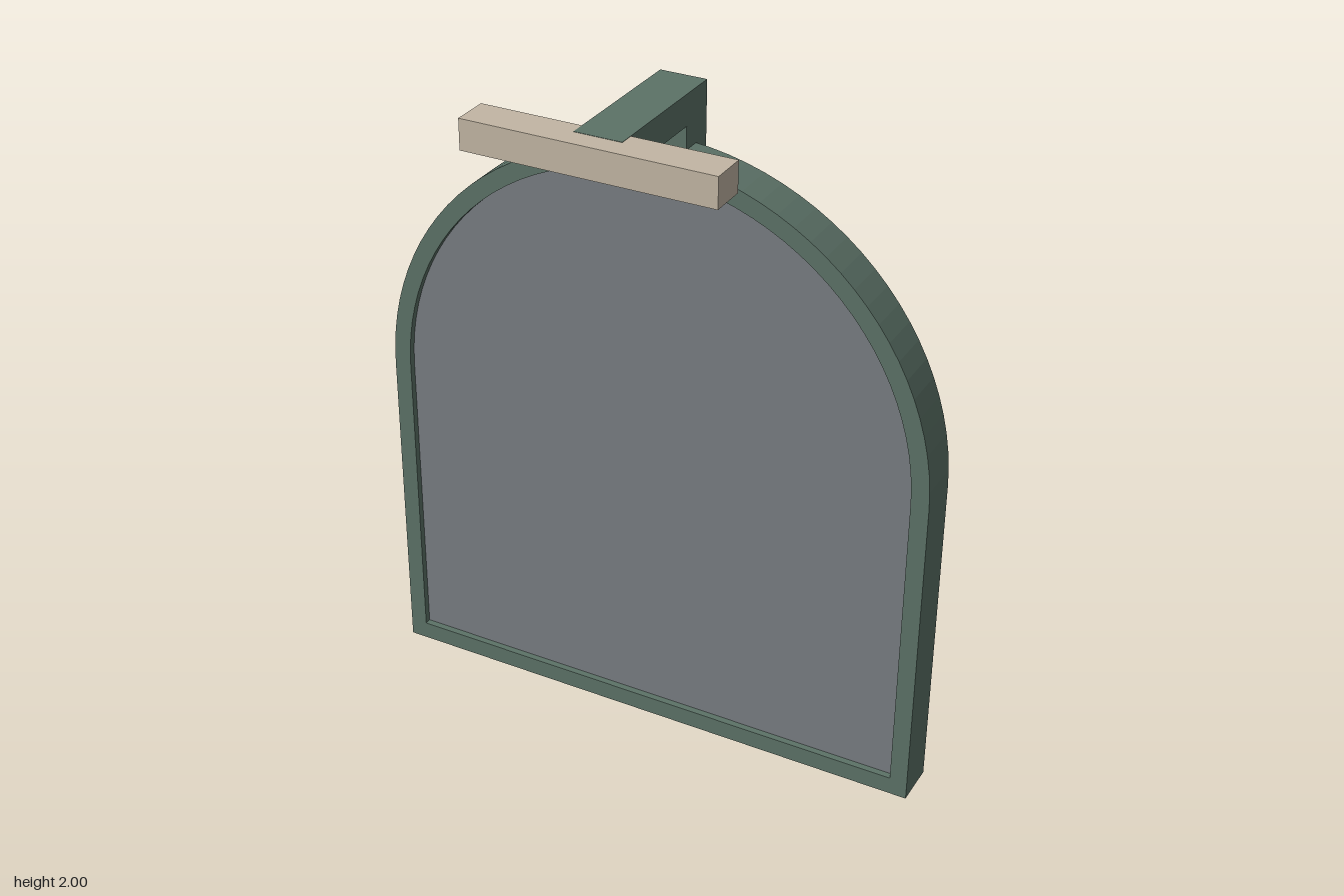
import * as THREE from 'three';

const paint = (name, color) => {
  const m = new THREE.MeshStandardMaterial({ color });
  m.name = name;
  return m;
};

// Arched outline: straight sides topped by a half circle
function arch(Type, radius, bottom, springY) {
  const s = new Type();
  s.moveTo(-radius, bottom);
  s.lineTo(radius, bottom);
  s.lineTo(radius, springY);
  s.absarc(0, springY, radius, 0, Math.PI, false);
  s.lineTo(-radius, bottom);
  return s;
}

export function createModel() {
  const green = paint('sage green', 0x5c7267);
  const grey = paint('panel grey', 0x787d82);
  const dark = paint('dark backing', 0x32373d);
  const tan = paint('pale wood', 0xc2b6a4);

  const group = new THREE.Group();
  const add = (name, geometry, material) => {
    const mesh = new THREE.Mesh(geometry, material);
    mesh.name = name;
    group.add(mesh);
  };
  const box = (name, material, [x0, x1], [y0, y1], [z0, z1]) => {
    const g = new THREE.BoxGeometry(x1 - x0, y1 - y0, z1 - z0);
    g.translate((x0 + x1) / 2, (y0 + y1) / 2, (z0 + z1) / 2);
    add(name, g, material);
  };
  const slab = (name, material, shape, z0, z1) => {
    const g = new THREE.ExtrudeGeometry(shape, { depth: z1 - z0, bevelEnabled: false, curveSegments: 24 });
    g.translate(0, 0, z0);
    add(name, g, material);
  };

  // Arched rim with the front panel and backing set inside it
  const springY = 0.995;
  const rim = arch(THREE.Shape, 0.85, 0, springY);
  rim.holes.push(arch(THREE.Path, 0.797, 0.055, springY));
  slab('archFrame', green, rim, -0.205, -0.07);
  const infill = arch(THREE.Shape, 0.797, 0.055, springY);
  slab('frontPanel', grey, infill, -0.14, -0.09);
  slab('backPanel', dark, infill, -0.203, -0.14);

  // Raised plate on the back
  box('backPlate', green, [-0.37, 0.37], [0.36, 1.485], [-0.265, -0.2]);

  // Hanging bracket and its crossbar
  box('bracketPost', green, [-0.07, 0.07], [1.65, 1.95], [-0.265, -0.15]);
  box('bracketArm', green, [-0.07, 0.07], [1.909, 2], [-0.265, 0.2]);
  box('crossbar', tan, [-0.37, 0.37], [1.91, 1.999], [0.155, 0.265]);

  return group;
}
